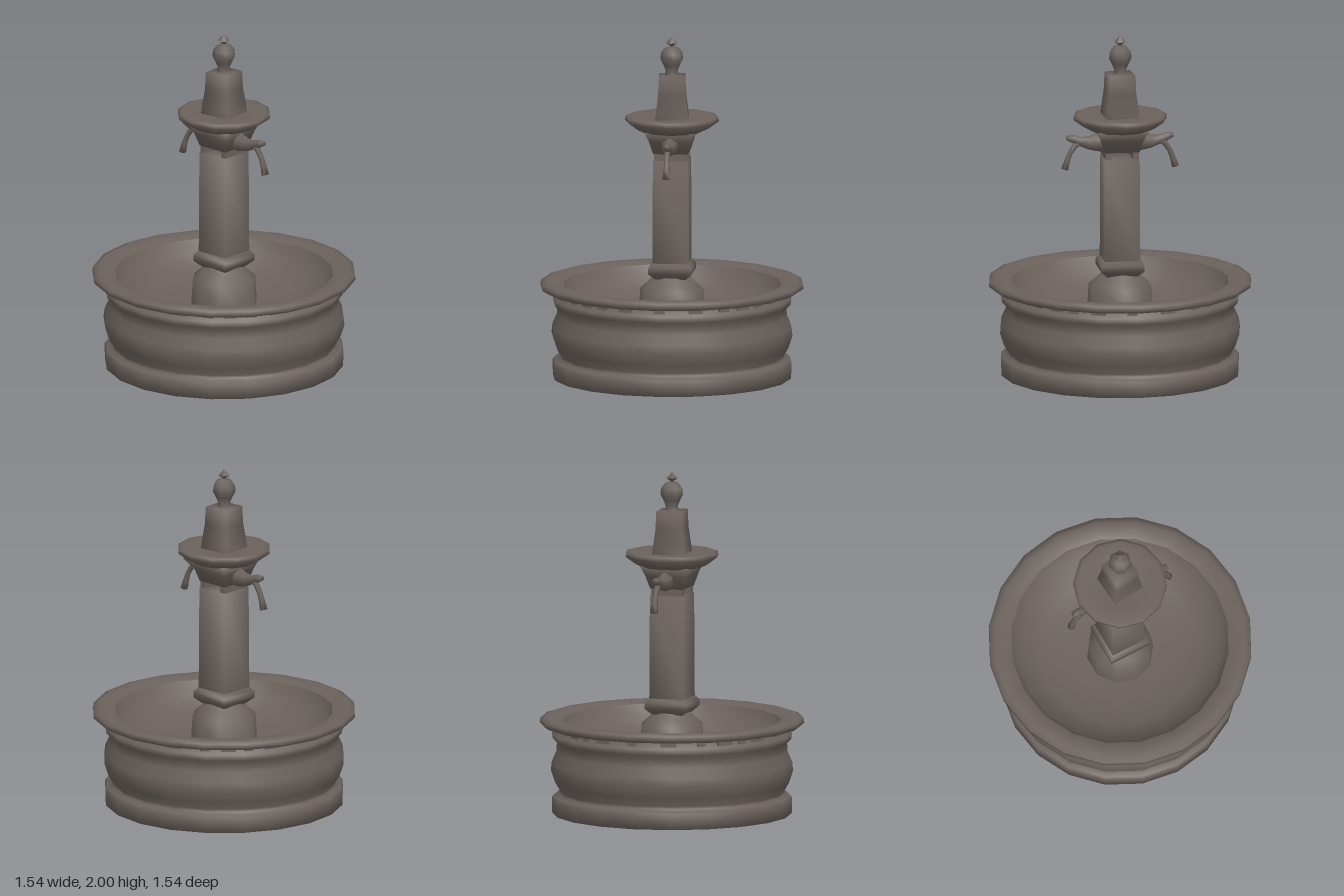
import * as THREE from 'three';
import { toCreasedNormals } from 'three/addons/utils/BufferGeometryUtils.js';

const stone = new THREE.MeshStandardMaterial({ color: 0x6a615c });
stone.name = 'stone';

// Crease angles: soft keeps worn edges rounded, crisp keeps them sharp
const SOFT = 2, CRISP = 0.8;

function add(parent, name, geometry, crease = SOFT) {
  const mesh = new THREE.Mesh(toCreasedNormals(geometry, crease), stone);
  mesh.name = name;
  parent.add(mesh);
  return mesh;
}

// Turned part: profile of [radius, y], running up the outside
function turned(profile, sides, start = 0) {
  const points = profile.map(([r, y]) => new THREE.Vector2(r, y));
  return new THREE.LatheGeometry(points, sides, start);
}

// Square part: profile of [half width, y]
const square = (profile) => turned(profile.map(([w, y]) => [w * Math.SQRT2, y]), 4, Math.PI / 4);

// Faceted limb through sections of [x, y, half height, half depth]
function limb(sections, sides = 6) {
  const pos = [], index = [];
  sections.forEach(([x, y, h, d], i) => {
    const a = sections[Math.max(i - 1, 0)], b = sections[Math.min(i + 1, sections.length - 1)];
    const len = Math.hypot(b[0] - a[0], b[1] - a[1]);
    const nx = -(b[1] - a[1]) / len, ny = (b[0] - a[0]) / len;
    for (let k = 0; k < sides; k++) {
      const t = (k / sides) * Math.PI * 2, c = Math.cos(t) * h;
      pos.push(x + nx * c, y + ny * c, Math.sin(t) * d);
    }
  });
  for (let i = 0; i < sections.length - 1; i++) {
    for (let k = 0; k < sides; k++) {
      const a = i * sides + k, b = i * sides + (k + 1) % sides;
      index.push(a, b, a + sides, b, b + sides, a + sides);
    }
  }
  const last = (sections.length - 1) * sides;
  for (let k = 1; k < sides - 1; k++) {
    index.push(0, k + 1, k, last, last + k, last + k + 1);
  }
  const g = new THREE.BufferGeometry();
  g.setAttribute('position', new THREE.Float32BufferAttribute(pos, 3));
  g.setIndex(index);
  return g;
}

export function createModel() {
  const fountain = new THREE.Group();
  fountain.name = 'fountain';

  // Round basin wall with a plinth, a bulging belly and a recessed neck
  add(fountain, 'basinWall', turned([
    [0, 0], [0.695, 0], [0.698, 0.09], [0.687, 0.105], [0.652, 0.115], [0.652, 0.13], [0.68, 0.18],
    [0.703, 0.25], [0.698, 0.3], [0.672, 0.36], [0.668, 0.41], [0.692, 0.435], [0.697, 0.47],
    [0.635, 0.48], [0.635, 0.525],
  ], 20));

  // Wide coping running down into the sloping inside of the basin
  add(fountain, 'basinRim', turned([
    [0.62, 0.52], [0.745, 0.515], [0.768, 0.53], [0.765, 0.556], [0.73, 0.567], [0.67, 0.563], [0.635, 0.548],
  ], 20));
  add(fountain, 'basinFloor', turned([
    [0.635, 0.548], [0.59, 0.46], [0.46, 0.39], [0.3, 0.365], [0, 0.36],
  ], 20));

  // Rough stones in the recess below the coping
  for (let i = 0; i < 24; i++) {
    const t = (i / 24) * Math.PI * 2 + Math.sin(i * 7.3) * 0.08;
    const s = add(fountain, 'recessStone', new THREE.BoxGeometry(0.07 + 0.03 * Math.sin(i * 3.1), 0.035, 0.025), CRISP);
    s.position.set(Math.sin(t) * 0.632, 0.488, Math.cos(t) * 0.632);
    s.rotation.set(0, t, Math.sin(i * 5.7) * 0.2);
  }

  // Pedestal and square column
  add(fountain, 'pedestal', turned([[0.195, 0.35], [0.185, 0.52], [0.14, 0.56], [0.1, 0.6]], 10));
  add(fountain, 'columnFoot', square([
    [0, 0.575], [0.09, 0.585], [0.126, 0.62], [0.126, 0.655], [0.105, 0.68], [0, 0.68],
  ]));
  add(fountain, 'column', square([[0.104, 0.67], [0.101, 1.285], [0, 1.285]]));

  // Broken gap at the column head
  for (const side of [-1, 1]) {
    const s = add(fountain, 'columnHeadSupport', new THREE.BoxGeometry(0.035, 0.06, 0.19), CRISP);
    s.position.set(side * 0.08, 1.308, 0);
  }
  const tooth = add(fountain, 'columnHeadTooth', new THREE.ConeGeometry(0.022, 0.05, 4), CRISP);
  tooth.position.set(0.02, 1.308, 0);

  // Flaring capital and upper bowl
  add(fountain, 'capital', square([[0, 1.325], [0.1, 1.325], [0.122, 1.4], [0.145, 1.455], [0, 1.46]]));
  add(fountain, 'upperBowl', turned([
    [0, 1.445], [0.18, 1.448], [0.215, 1.465], [0.274, 1.508], [0.272, 1.53], [0.25, 1.537],
    [0.17, 1.525], [0, 1.525],
  ], 12));

  // Tapered tower, slightly twisted
  const tower = add(fountain, 'tower', square([
    [0.096, 1.52], [0.091, 1.57], [0.079, 1.67], [0.075, 1.775], [0, 1.78],
  ]));
  tower.rotation.y = 0.08;

  // Finial knob and point
  add(fountain, 'finialKnob', turned([
    [0.045, 1.77], [0.036, 1.8], [0.05, 1.835], [0.068, 1.87], [0.064, 1.905], [0.042, 1.935], [0, 1.948],
  ], 7));
  add(fountain, 'finialPoint', turned([[0.008, 1.94], [0.014, 1.95], [0.035, 1.965], [0, 2]], 5), CRISP);

  // Two mirrored spouts with falling streams
  for (const side of [0, Math.PI]) {
    const spout = new THREE.Group();
    spout.name = side ? 'rightSpout' : 'leftSpout';
    spout.rotation.y = side;
    add(spout, 'spoutArm', limb([
      [0.08, 1.37, 0.06, 0.06], [0.14, 1.373, 0.054, 0.045], [0.185, 1.37, 0.04, 0.03],
      [0.235, 1.38, 0.026, 0.022], [0.275, 1.395, 0.024, 0.024], [0.312, 1.403, 0.014, 0.018],
    ]));
    add(spout, 'stream', limb([
      [0.22, 1.378, 0.014, 0.016], [0.262, 1.358, 0.018, 0.018], [0.293, 1.31, 0.015, 0.016],
      [0.31, 1.265, 0.017, 0.019], [0.324, 1.215, 0.021, 0.024],
    ]));
    fountain.add(spout);
  }
  return fountain;
}
